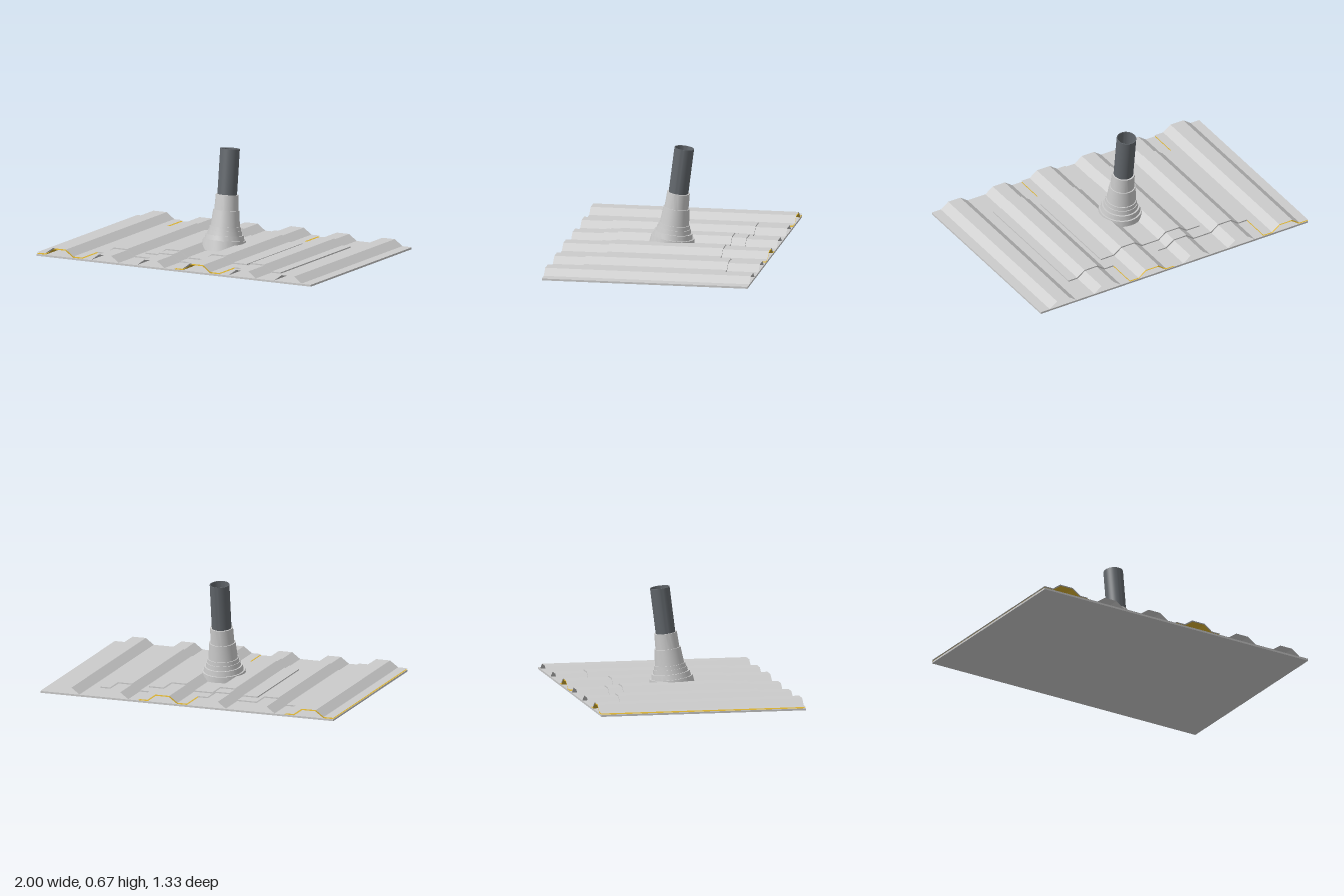
import * as THREE from 'three';
import { toCreasedNormals } from 'three/addons/utils/BufferGeometryUtils.js';

const DEPTH = 1.333;
const PITCH = 1 / 3;
const RIB = 0.04;

const grey = new THREE.MeshStandardMaterial({ color: 0xcccccc, side: THREE.DoubleSide });
const yellow = new THREE.MeshStandardMaterial({ color: 0xd8b030, side: THREE.DoubleSide });
const dark = new THREE.MeshStandardMaterial({ color: 0x62676c, side: THREE.DoubleSide });

// Trapezoidal rib outline between two x positions; grow widens each rib slightly
function ribProfile(x0, x1, level, grow = 0) {
  const points = [[x0, level]];
  for (let i = 0; i < 6; i++) {
    const c = (i - 2.5) * PITCH;
    if (c < x0 || c > x1) continue;
    points.push([c - 0.1 - grow, level], [c - 0.045 - grow, level + RIB],
      [c + 0.045 + grow, level + RIB], [c + 0.1 + grow, level]);
  }
  points.push([x1, level]);
  return points;
}

function addMesh(parent, name, geometry, material) {
  const mesh = new THREE.Mesh(geometry, material);
  mesh.name = name;
  parent.add(mesh);
  return mesh;
}

// Thin open sheet swept along z
function sheetGeometry(profile) {
  const h = DEPTH / 2;
  const position = [];
  for (let i = 0; i < profile.length - 1; i++) {
    const [ax, ay] = profile[i];
    const [bx, by] = profile[i + 1];
    position.push(ax, ay, h, bx, by, h, bx, by, -h);
    position.push(ax, ay, h, bx, by, -h, ax, ay, -h);
  }
  const geometry = new THREE.BufferGeometry();
  geometry.setAttribute('position', new THREE.Float32BufferAttribute(position, 3));
  geometry.computeVertexNormals();
  return geometry;
}

// Solid ribbed plate resting on the deck
function plateGeometry(x0, x1, level, grow, depth) {
  const outline = [[x0, 0.013], [x1, 0.013], ...ribProfile(x0, x1, level, grow).reverse()];
  const shape = new THREE.Shape(outline.map(([x, y]) => new THREE.Vector2(x, y)));
  return new THREE.ExtrudeGeometry(shape, { depth, bevelEnabled: false })
    .translate(0, 0, -depth / 2);
}

export function createModel() {
  const model = new THREE.Group();
  model.name = 'roofPipeFlashing';

  // Flat deck under the roof covering
  addMesh(model, 'deck', new THREE.BoxGeometry(2, 0.012, DEPTH).translate(0, 0.006, 0), grey);

  // Six ribbed roof sheets; two have a raised cover over a yellow underlayer
  const roof = new THREE.Group();
  roof.name = 'roofSheets';
  for (let i = 0; i < 6; i++) {
    const x0 = -1 + i * PITCH;
    const x1 = x0 + PITCH;
    const covered = i === 0 || i === 3;
    addMesh(roof, covered ? 'underlayer' : 'roofSheet',
      sheetGeometry(ribProfile(x0, x1, 0.014)), covered ? yellow : grey);
    if (covered) addMesh(roof, 'raisedSheet', sheetGeometry(ribProfile(x0, x1, 0.022, 0.003)), grey);
  }
  model.add(roof);

  // Stepped flashing plates around the pipe
  addMesh(model, 'outerPlateRight', plateGeometry(-0.667, 0, 0.022, 0.003, 0.925), grey);
  addMesh(model, 'outerPlateLeft', plateGeometry(PITCH, 0.667, 0.022, 0.003, 0.925), grey);
  addMesh(model, 'innerPlate', plateGeometry(-0.37, 0.37, 0.03, 0.006, 0.74), grey);

  // Boot and pipe share an axis leaning backwards
  const vent = new THREE.Group();
  vent.name = 'ventPipe';
  vent.position.y = 0.04;
  vent.rotation.x = -0.127;
  model.add(vent);

  // Rubber boot: stepped rings narrowing to a collar
  const steps = [
    [0.146, -0.022], [0.138, 0.045], [0.128, 0.045], [0.122, 0.077],
    [0.112, 0.077], [0.108, 0.105], [0.103, 0.105], [0.1, 0.13],
    [0.094, 0.13], [0.084, 0.235], [0.077, 0.235], [0.073, 0.335], [0.062, 0.335],
  ].map(([r, y]) => new THREE.Vector2(r, y));
  addMesh(vent, 'boot', toCreasedNormals(new THREE.LatheGeometry(steps, 48), 0.6), grey);

  // Hollow pipe
  const wall = [[0.063, 0], [0.063, 0.63], [0.058, 0.63], [0.058, 0]]
    .map(([r, y]) => new THREE.Vector2(r, y));
  addMesh(vent, 'pipe', toCreasedNormals(new THREE.LatheGeometry(wall, 48), 0.6), dark);

  return model;
}
